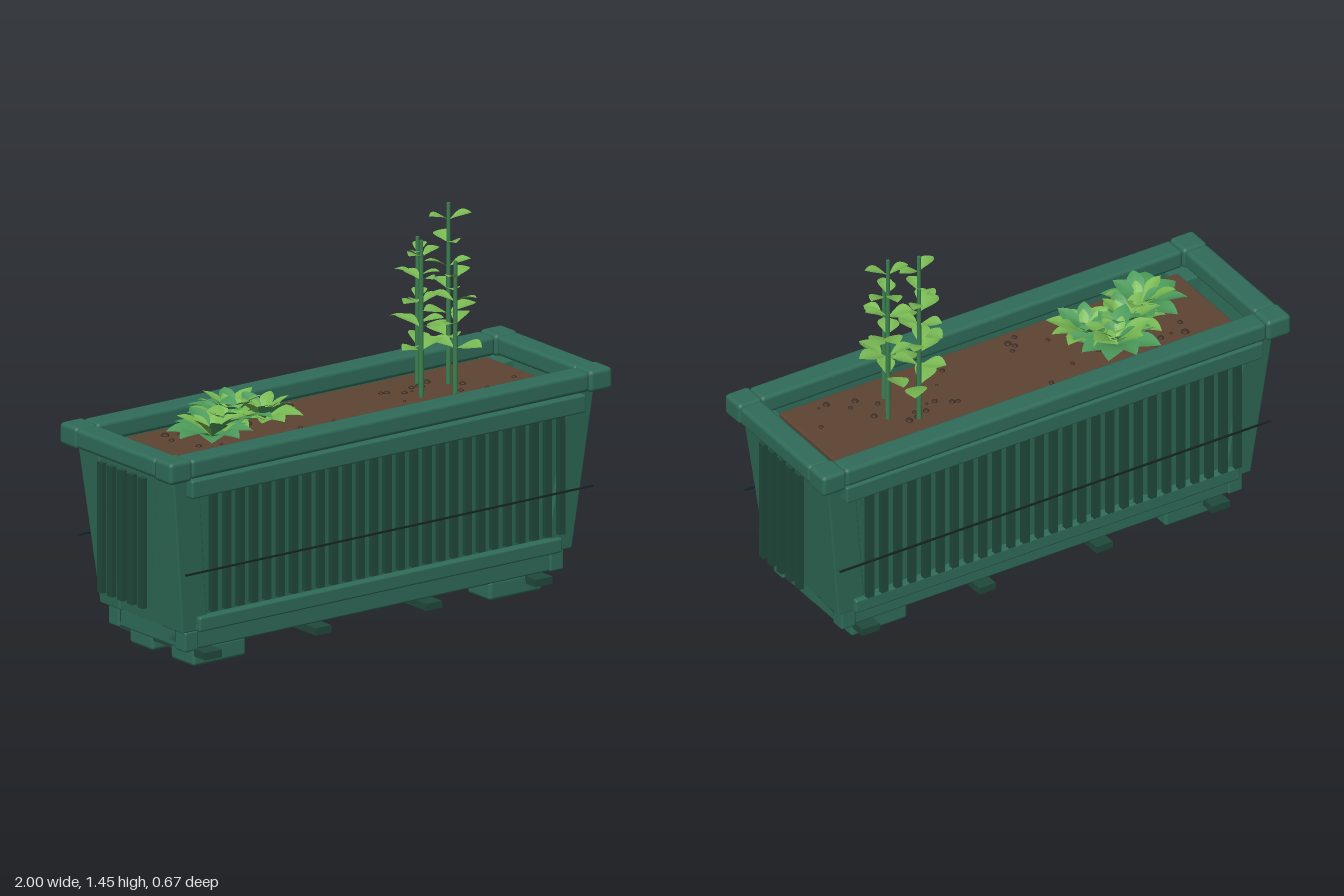
import * as THREE from 'three';
import { RoundedBoxGeometry } from 'three/addons/geometries/RoundedBoxGeometry.js';

const mat = (name, color, side = THREE.FrontSide) => {
  const m = new THREE.MeshStandardMaterial({ color, side });
  m.name = name;
  return m;
};

// small seeded generator for natural variation
function seeded(seed) {
  return () => {
    seed = (seed * 16807) % 2147483647;
    return seed / 2147483647;
  };
}

// leaf along +x: oval outline, folded along the midrib, arched along its length
function leafGeometry(length, width, rise, droop, fullness) {
  const g = new THREE.PlaneGeometry(1, 1, 8, 4);
  g.rotateX(-Math.PI / 2);
  const p = g.attributes.position;
  for (let i = 0; i < p.count; i++) {
    const t = p.getX(i) + 0.5;
    const s = p.getZ(i) * 2;
    const half = (width / 2) * Math.max(0.06, Math.sin(Math.PI * Math.pow(t, fullness))) * (t > 0.999 ? 0 : 1);
    p.setXYZ(i, t * length, rise * t - droop * t * t + Math.abs(s) * half * 0.25, s * half);
  }
  g.computeVertexNormals();
  return g;
}

export function createModel() {
  const root = new THREE.Group();
  root.name = 'planter';
  const green = mat('planterGreen', 0x2f6b58);
  const dark = mat('darkGreen', 0x20483b);
  const wire = mat('wireBlack', 0x14251f);
  const soilMat = mat('soilBrown', 0x5d4433);
  const pebbleMat = mat('pebbleBrown', 0x402e22);
  const stemMat = mat('stemGreen', 0x3c8050);
  const lightLeaf = mat('lightLeaf', 0x78b853, THREE.DoubleSide);
  const deepLeaf = mat('deepLeaf', 0x4c9a5a, THREE.DoubleSide);
  const rnd = seeded(4711);

  const add = (name, geometry, material, x = 0, y = 0, z = 0, parent = root) => {
    const m = new THREE.Mesh(geometry, material);
    m.name = name;
    m.position.set(x, y, z);
    parent.add(m);
    return m;
  };
  // box given by its limits, with optional rounding
  const block = (name, material, [x0, x1], [y0, y1], [z0, z1], r = 0) => {
    const w = x1 - x0, h = y1 - y0, d = z1 - z0;
    const g = r ? new RoundedBoxGeometry(w, h, d, 2, r) : new THREE.BoxGeometry(w, h, d);
    return add(name, g, material, (x0 + x1) / 2, (y0 + y1) / 2, (z0 + z1) / 2);
  };
  const pair = (a, b, s) => (s > 0 ? [a, b] : [-b, -a]);
  // lean a geometry outward towards its top
  const lean = (g, h, dx, dz) => {
    const p = g.attributes.position;
    for (let i = 0; i < p.count; i++) {
      const k = p.getY(i) / h;
      p.setX(i, p.getX(i) + dx * k);
      p.setZ(i, p.getZ(i) + dz * k);
    }
    g.computeVertexNormals();
    return g;
  };

  const H = 0.6, MID = 0.455;
  for (const s of [1, -1]) {
    // long sides: wall, bands, rim, skirt and wire
    const wall = new THREE.BoxGeometry(1.68, H, 0.02);
    add('longWall', lean(wall, H, 0, s * 0.04), green, 0, MID, s * 0.245);
    block('upperBand', green, [-0.89, 0.89], [0.68, 0.748], pair(0.27, 0.318, s), 0.008);
    block('lowerBand', green, [-0.82, 0.82], [0.155, 0.21], pair(0.225, 0.27, s), 0.008);
    block('longRim', green, [-0.9, 0.9], [0.758, 0.832], pair(0.235, 0.328, s), 0.016);
    block('longSkirt', green, [-0.8, 0.8], [0.077, 0.153], pair(0.165, 0.222, s), 0.008);
    block('longWire', wire, [-0.92, 0.92], [0.397, 0.403], pair(0.314, 0.321, s));
    for (let i = 0; i < 27; i++) {
      const x = -0.785 + i * (1.57 / 26);
      block('longSlat', dark, [x - 0.014, x + 0.014], [0.24, 0.73], pair(0.293, 0.314, s));
    }

    // short ends
    const end = new THREE.BoxGeometry(0.02, H, 0.3);
    add('endWall', lean(end, H, s * 0.07, 0), green, s * 0.895, MID, 0);
    block('endRim', green, pair(0.903, 0.998, s), [0.758, 0.832], [-0.235, 0.235], 0.016);
    block('endSkirt', green, pair(0.79, 0.85, s), [0.08, 0.155], [-0.168, 0.168], 0.008);
    for (let i = -2; i <= 2; i++) {
      block('endSlat', dark, pair(0.957, 0.978, s), [0.24, 0.73], [i * 0.06 - 0.015, i * 0.06 + 0.015]);
    }

    // corner posts, rim corners, skirt corners and feet
    for (const t of [1, -1]) {
      const post = new RoundedBoxGeometry(0.115, H, 0.12, 2, 0.006);
      add('cornerPost', lean(post, H, s * 0.07, t * 0.04), green, s * 0.858, MID, t * 0.206);
      block('rimCorner', green, pair(0.898, 1, s), [0.753, 0.836], pair(0.23, 0.333, t), 0.016);
      block('skirtCorner', green, pair(0.795, 0.856, s), [0.075, 0.151], pair(0.167, 0.23, t), 0.008);
      block('foot', green, pair(0.55, 0.79, s), [0, 0.075], pair(0.053, 0.192, t), 0.014);
    }

    // cross bars beneath, with drain plugs
    block('innerCrossBar', dark, pair(0.215, 0.285, s), [0.042, 0.069], [-0.255, 0.255]);
    block('outerCrossBar', dark, pair(0.71, 0.785, s), [0.04, 0.068], [-0.255, 0.255]);
    add('drainPlug', new THREE.CylinderGeometry(0.036, 0.03, 0.018, 20), dark, s * 0.228, 0.034, 0);
    add('drainStem', new THREE.CylinderGeometry(0.018, 0.018, 0.06, 12), dark, s * 0.228, 0.07, 0);
  }
  block('floor', dark, [-0.85, 0.85], [0.1, 0.17], [-0.22, 0.22]);

  // soil and scattered pebbles
  block('soil', soilMat, [-0.855, 0.847], [0.66, 0.77], [-0.215, 0.207], 0.008);
  for (let i = 0; i < 36; i++) {
    const r = 0.006 + rnd() * 0.01;
    const m = add('pebble', new THREE.IcosahedronGeometry(r, 1), pebbleMat,
      -0.78 + rnd() * 1.56, 0.772, -0.18 + rnd() * 0.35);
    m.scale.y = 0.6;
  }

  const addLeaf = (parent, geometry, material, y, angle, roll = 0) => {
    const m = add('leaf', geometry, material, 0, y, 0, parent);
    m.rotation.set(roll, angle, 0, 'YXZ');
  };

  // low leafy rosettes: x, z, leaf length, outer material
  const rosettes = [
    [-0.6, 0.05, 0.17, deepLeaf],
    [-0.4, -0.1, 0.17, deepLeaf],
    [-0.33, 0.0, 0.145, lightLeaf],
    [-0.49, -0.02, 0.15, lightLeaf],
  ];
  for (const [x, z, len, outer] of rosettes) {
    const plant = new THREE.Group();
    plant.name = 'rosette';
    plant.position.set(x, 0.775, z);
    root.add(plant);
    const start = rnd() * 6;
    [[9, 1, 0.11, 0.07, 0.015], [7, 0.75, 0.13, 0.05, 0.025], [5, 0.45, 0.08, 0.02, 0.035]]
      .forEach(([n, k, rise, droop, y], ring) => {
        for (let i = 0; i < n; i++) {
          const l = len * k * (0.85 + rnd() * 0.25);
          const g = leafGeometry(l, l * 0.52, rise, droop, 1.15);
          const material = ring === 0 ? outer : (i % 3 === 0 ? deepLeaf : lightLeaf);
          addLeaf(plant, g, material, y, start + ring * 0.4 + (i / n) * Math.PI * 2, (rnd() - 0.5) * 0.4);
        }
      });
  }

  // upright stems with crossed pairs of leaves: x, z, top, turn
  const stems = [
    [0.475, 0.085, 1.27, 0.5],
    [0.355, 0.04, 1.36, 0.15],
    [0.535, -0.035, 1.45, -0.3],
    [0.44, -0.095, 1.325, 0.9],
  ];
  for (const [x, z, top, turn] of stems) {
    const plant = new THREE.Group();
    plant.name = 'uprightPlant';
    plant.position.set(x, 0, z);
    root.add(plant);
    add('stem', new THREE.CylinderGeometry(0.007, 0.01, top - 0.76, 8), stemMat, 0, (top + 0.76) / 2, 0, plant);
    const tiers = Math.round((top - 0.9) / 0.088);
    for (let i = 0; i < tiers; i++) {
      const y = top - 0.065 - i * 0.088;
      const len = 0.078 + 0.04 * (i / tiers);
      for (const side of [0, Math.PI]) {
        const l = len * (0.9 + rnd() * 0.2);
        const g = leafGeometry(l, l * 0.68, 0.055, 0.03, 1.35);
        addLeaf(plant, g, lightLeaf, y, turn + i * Math.PI / 2 + side + (rnd() - 0.5) * 0.4, (rnd() - 0.5) * 0.4);
      }
    }
  }
  return root;
}
